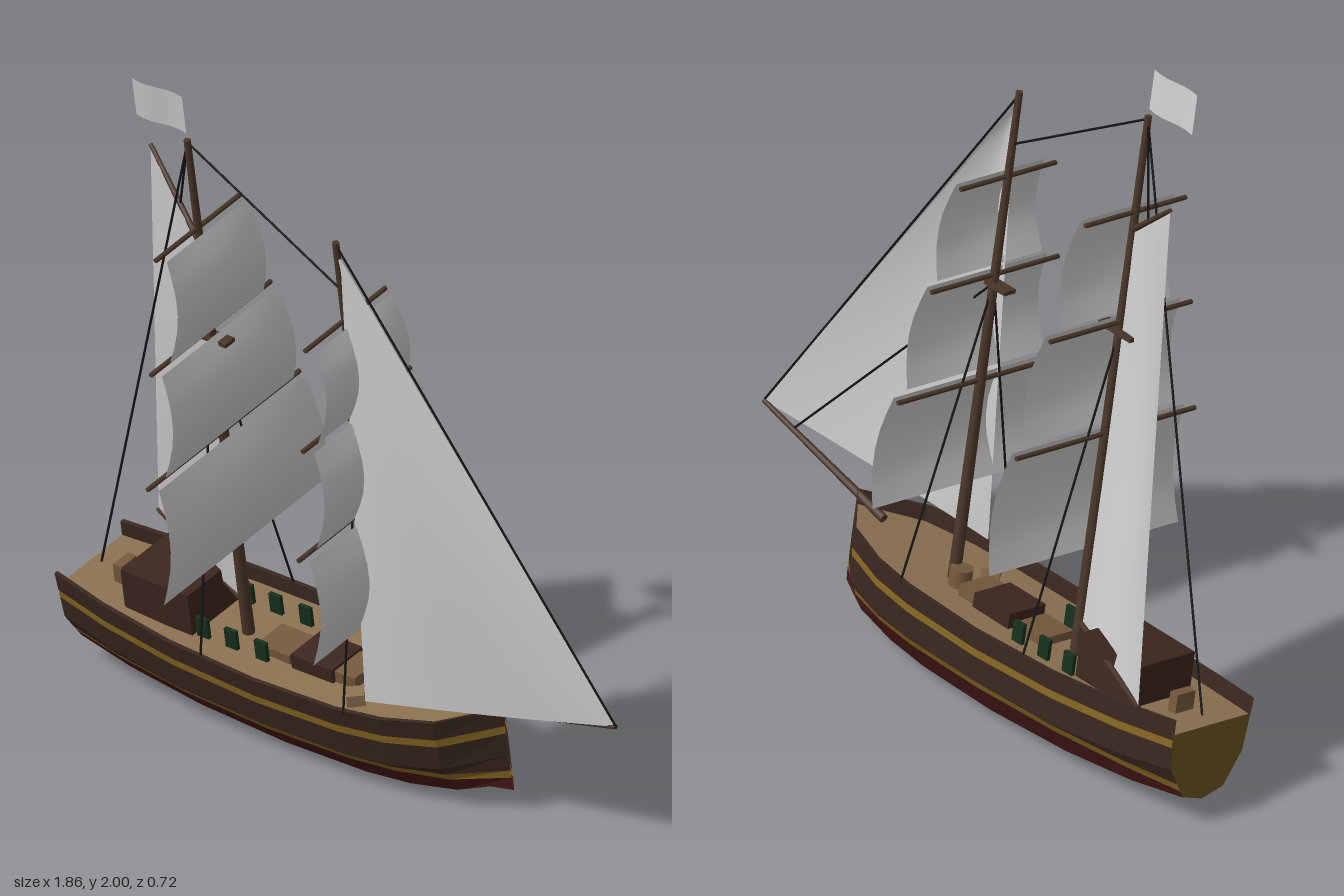
import * as THREE from 'three';

const V = (x, y, z) => new THREE.Vector3(x, y, z);
const mat = (color, opts = {}) => new THREE.MeshStandardMaterial({ color, ...opts });
const flat = (color) => mat(color, { side: THREE.DoubleSide, flatShading: true });
const hullBrown = flat(0x3a2820), gold = flat(0x8a6a24), red = flat(0x4a1818), tan = flat(0x8a7050);
const transomGold = flat(0x6b5520);
const cabinBrown = mat(0x3c261e), wood = mat(0x4a3629), crate = mat(0x75583c), green = mat(0x16301c);
const rope = mat(0x151515), cloth = mat(0xcccccc, { side: THREE.DoubleSide });

// Surface from a rule f(i, j) -> [x, y, z] over a grid of nu by nv cells
function grid(nu, nv, f) {
  const pos = [], idx = [];
  for (let j = 0; j <= nv; j++) for (let i = 0; i <= nu; i++) pos.push(...f(i, j));
  for (let j = 0; j < nv; j++) for (let i = 0; i < nu; i++) {
    const a = j * (nu + 1) + i, b = a + 1, c = a + nu + 1, d = c + 1;
    idx.push(a, c, b, b, c, d);
  }
  const g = new THREE.BufferGeometry();
  g.setAttribute('position', new THREE.Float32BufferAttribute(pos, 3));
  g.setIndex(idx);
  g.computeVertexNormals();
  return g;
}

function add(parent, name, geometry, material) {
  const m = new THREE.Mesh(geometry, material);
  m.name = name;
  parent.add(m);
  return m;
}

// Round bar between two points
function bar(parent, name, a, b, r0, r1, material, sides = 8) {
  const d = b.clone().sub(a);
  const m = add(parent, name, new THREE.CylinderGeometry(r1, r0, d.length(), sides), material);
  m.position.copy(a).lerp(b, 0.5);
  m.quaternion.setFromUnitVectors(V(0, 1, 0), d.normalize());
  return m;
}
const line = (parent, name, a, b) => bar(parent, name, a, b, 0.0035, 0.0035, rope, 5);

function box(parent, name, w, h, d, x, y, z, material) {
  const m = add(parent, name, new THREE.BoxGeometry(w, h, d), material);
  m.position.set(x, y, z);
  return m;
}

// Hull stations: x, keel height, rail height, half beam
const stations = [
  [-0.935, 0.065, 0.335, 0.147], [-0.75, 0.035, 0.318, 0.178], [-0.5, 0.012, 0.303, 0.203],
  [-0.2, 0, 0.295, 0.213], [0.08, 0.004, 0.299, 0.206], [0.23, 0.015, 0.307, 0.188],
  [0.38, 0.035, 0.32, 0.142], [0.52, 0.065, 0.34, 0.004],
];
const section = [[0, 0], [0.08, 0.5], [0.43, 0.87], [1, 1]];
function halfWidth([, k, h, w], y) {
  const t = (y - k) / (h - k);
  for (let i = 1; i < section.length; i++) {
    const [t0, w0] = section[i - 1], [t1, w1] = section[i];
    if (t <= t1) return w * (w0 + (w1 - w0) * Math.max(0, t - t0) / (t1 - t0));
  }
  return w;
}
const deckY = (s) => s[2] - 0.045;

function buildHull(parent) {
  const hull = new THREE.Group();
  hull.name = 'hull';
  parent.add(hull);
  // Heights of the plank lines, from rail to keel
  const rows = [
    (s) => s[2], (s) => s[2] - 0.06, (s) => s[2] - 0.085,
    (s) => Math.max(0.137, s[1] + 0.43 * (s[2] - s[1])),
    () => 0.132, () => 0.108, (s) => s[1] + 0.08 * (s[2] - s[1]), (s) => s[1],
  ];
  const bands = [
    ['bulwarkPlanks', hullBrown], ['upperStripe', gold], ['sidePlanks', hullBrown],
    ['lowerSidePlanks', hullBrown], ['lowerStripe', gold], ['bilge', red], ['bottom', red],
  ];
  const n = stations.length - 1;
  const at = (side, i) => stations[side > 0 ? i : n - i];
  const inner = (s) => Math.max(0.001, s[3] - 0.013);
  for (const side of [1, -1]) {
    bands.forEach(([name, m], b) => add(hull, name, grid(n, 1, (i, j) => {
      const s = at(side, i), y = rows[b + j](s);
      return [s[0], y, side * halfWidth(s, y)];
    }), m));
    // Rail cap and inner bulwark
    add(hull, 'railAndInnerBulwark', grid(n, 2, (i, j) => {
      const s = at(side, i);
      return [s[0], j < 2 ? s[2] : deckY(s), side * (j ? inner(s) : s[3])];
    }), hullBrown);
  }
  add(hull, 'deck', grid(n, 1, (i, j) => {
    const s = stations[i];
    return [s[0], deckY(s), (j ? 1 : -1) * inner(s)];
  }), tan);
  const s = stations[0], levels = [deckY(s), 0.181, 0.0866, 0.065];
  add(hull, 'transom', grid(1, 3, (i, j) => [s[0], levels[j], (i ? 1 : -1) * halfWidth(s, levels[j])]), transomGold);
}

function buildDeckFittings(p) {
  box(p, 'aftCabin', 0.235, 0.13, 0.205, -0.615, 0.328, 0, cabinBrown);
  box(p, 'helmBox', 0.03, 0.06, 0.065, -0.81, 0.305, 0, crate);
  box(p, 'midHatch', 0.115, 0.03, 0.11, -0.253, 0.262, 0, crate);
  box(p, 'mainHatch', 0.145, 0.05, 0.13, -0.108, 0.27, 0, cabinBrown);
  box(p, 'foreHatch', 0.07, 0.045, 0.11, 0.0, 0.265, 0, crate);
  box(p, 'foreCrate', 0.05, 0.04, 0.05, 0.075, 0.27, 0.1, tan).rotation.y = 0.7;
  bar(p, 'capstan', V(0.08, 0.25, -0.01), V(0.08, 0.305, -0.01), 0.033, 0.033, crate, 12);
  for (const x of [-0.47, -0.37, -0.265]) for (const z of [-0.105, 0.085])
    box(p, 'deckGun', 0.04, 0.06, 0.012, x, 0.29, z, green);
}

// One square-rigged mast; sails are [yard height, yard half length, foot height]
function buildMast(p, name, x, top, treeY, treeX, treeLen, sails) {
  const mast = new THREE.Group();
  mast.name = name;
  p.add(mast);
  bar(mast, 'mastPole', V(x, 0.24, 0), V(x, top, 0), 0.018, 0.01, wood, 10);
  box(mast, 'crosstree', treeLen, 0.012, 0.04, treeX, treeY, 0, wood);
  for (const [y, half, foot] of sails) {
    bar(mast, 'yard', V(x, y, -half), V(x, y, half), 0.007, 0.007, wood);
    add(mast, 'squareSail', grid(8, 6, (i, j) => {
      const v = j / 6, u = i / 4 - 1;
      const belly = Math.sin(Math.PI * v) * (0.045 - 0.012 * u * u);
      return [x + 0.03 + belly - 0.006 * v, y + (foot - y) * v, -u * (half - 0.012 + 0.03 * v)];
    }), cloth);
  }
  for (const z of [-0.2, 0.2]) line(mast, 'shroud', V(x, treeY, 0), V(x, 0.29, z));
}

// Four-cornered fore-and-aft sail with a sideways belly
function sail(p, name, topA, topB, botA, botB, belly) {
  add(p, name, grid(8, 10, (i, j) => {
    const u = i / 8, v = j / 10;
    const q = topA.clone().lerp(topB, u).lerp(botA.clone().lerp(botB, u), v);
    q.z += belly * Math.sin(Math.PI * u) * Math.sin(Math.PI * (0.08 + 0.85 * v));
    return q.toArray();
  }), cloth);
}

export function createModel() {
  const root = new THREE.Group();
  root.name = 'sailingShip';
  // The whole ship heels over to one side
  const ship = new THREE.Group();
  ship.name = 'heelingShip';
  ship.rotation.x = 0.16;
  ship.position.z = -0.12;
  root.add(ship);

  buildHull(ship);
  buildDeckFittings(ship);
  const mx = -0.385, fx = 0.115;
  buildMast(ship, 'mainMast', mx, 1.884, 1.235, -0.385, 0.13,
    [[1.594, 0.182, 1.275], [1.26, 0.256, 0.94], [0.922, 0.324, 0.56]]);
  buildMast(ship, 'foreMast', fx, 1.73, 1.15, 0.09, 0.085,
    [[1.474, 0.172, 1.19], [1.176, 0.23, 0.875], [0.857, 0.3, 0.53]]);

  // Gaff sail with its spars
  const throat = V(mx, 1.54, 0), peak = V(-0.615, 1.726, -0.098);
  const tack = V(mx, 0.352, 0), clew = V(-0.86, 0.357, -0.21);
  bar(ship, 'gaff', throat, peak, 0.009, 0.006, wood);
  bar(ship, 'boom', tack, clew, 0.009, 0.007, wood);
  sail(ship, 'gaffSail', throat, peak, tack, clew, 0.045);

  // Bowsprit and jib
  const tip = V(0.925, 0.425, 0), head = V(fx + 0.01, 1.68, 0);
  bar(ship, 'bowsprit', V(0.41, 0.3, 0), tip, 0.013, 0.007, wood);
  sail(ship, 'jib', head, head, tip, V(0.155, 0.316, 0.15), 0.035);

  // Stays
  const mainTop = V(mx, 1.875, 0);
  line(ship, 'mastStay', mainTop, V(fx, 1.57, 0));
  line(ship, 'backStay', mainTop, V(-0.895, 0.3, 0));
  line(ship, 'gaffLift', mainTop, throat.clone().lerp(peak, 0.4));
  line(ship, 'foreStay', V(fx, 1.72, 0), tip);
  line(ship, 'innerStay', V(fx, 1.15, 0), V(0.8, 0.395, 0));

  // Flag above the main mast
  add(ship, 'flag', grid(6, 1, (i, j) => [
    mx - 0.175 + 0.175 * i / 6, j ? 1.905 : 2.025, 0.006 * Math.sin(i * Math.PI / 3)]), cloth);
  return root;
}
